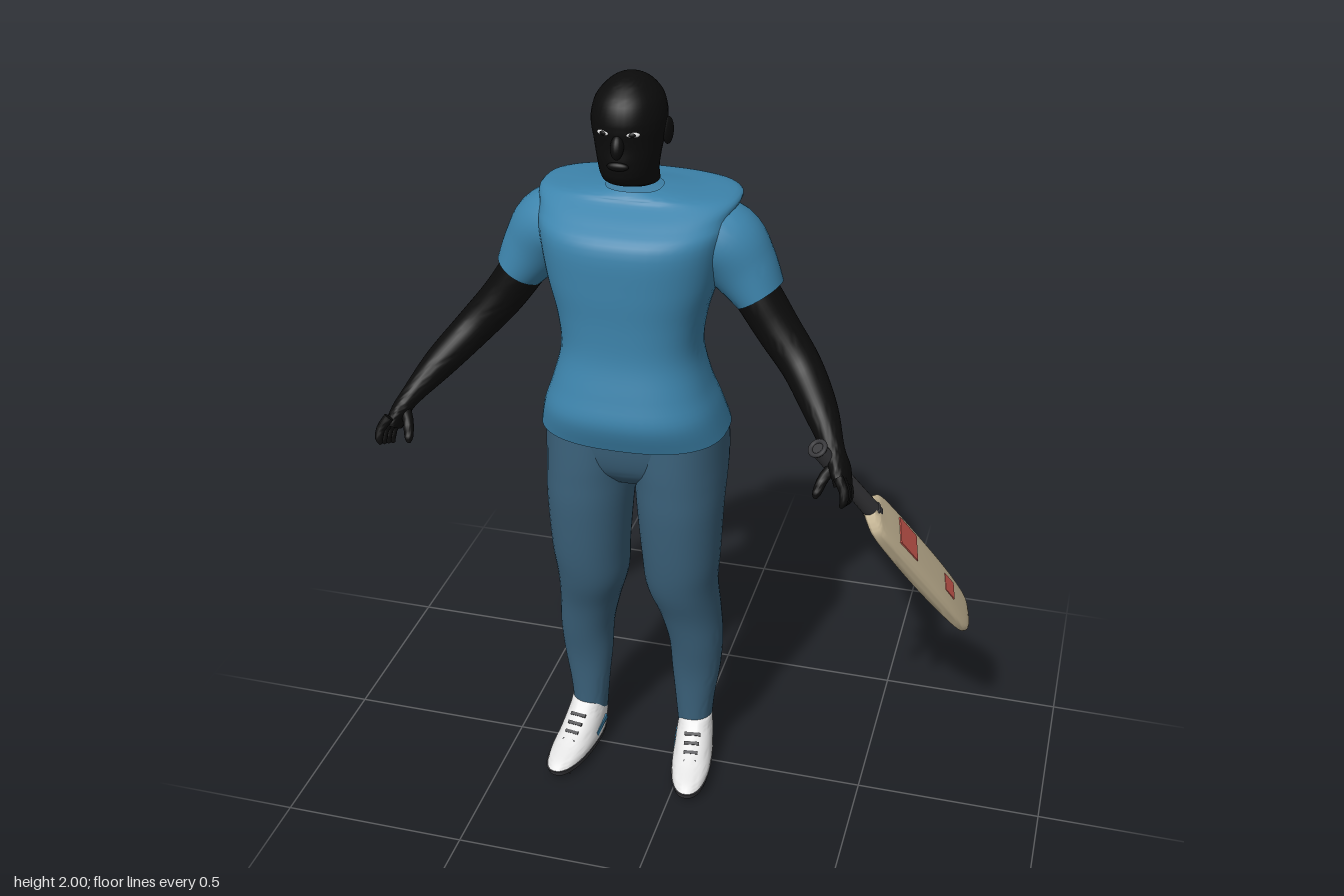
import * as THREE from 'three';
import { toCreasedNormals } from 'three/addons/utils/BufferGeometryUtils.js';

const V = (x, y, z) => new THREE.Vector3(x, y, z);
const CX = -0.14; // body centre line

// Catmull-Rom resampling of rows of numbers
function smooth(rows, steps = 5) {
  const out = [], at = i => rows[Math.max(0, Math.min(rows.length - 1, i))];
  for (let i = 0; i < rows.length - 1; i++)
    for (let k = 0; k < steps; k++) {
      const t = k / steps, [a, b, c, d] = [at(i - 1), at(i), at(i + 1), at(i + 2)];
      out.push(b.map((p, j) => 0.5 * (2 * p + (c[j] - a[j]) * t +
        (2 * a[j] - 5 * p + 4 * c[j] - d[j]) * t * t + (3 * p - a[j] - 3 * c[j] + d[j]) * t * t * t)));
    }
  out.push(rows[rows.length - 1]);
  return out;
}

// Surface through rings given as centre c with half axes u and v
function skin(rings, { n = 2, caps = true, segs = 36 } = {}) {
  const pos = [], idx = [];
  const bend = q => Math.sign(q) * Math.pow(Math.abs(q), 2 / n);
  for (const { c, u, v } of rings)
    for (let j = 0; j < segs; j++) {
      const a = (j / segs) * Math.PI * 2;
      const p = c.clone().addScaledVector(u, bend(Math.cos(a))).addScaledVector(v, bend(Math.sin(a)));
      pos.push(p.x, p.y, p.z);
    }
  for (let i = 0; i < rings.length - 1; i++)
    for (let j = 0; j < segs; j++) {
      const k = (j + 1) % segs, a = i * segs + j, b = i * segs + k;
      idx.push(a, a + segs, b, b, a + segs, b + segs);
    }
  if (caps) {
    const first = rings[0].c, last = rings[rings.length - 1].c;
    const m = pos.length / 3, top = (rings.length - 1) * segs;
    pos.push(first.x, first.y, first.z, last.x, last.y, last.z);
    for (let j = 0; j < segs; j++) {
      const k = (j + 1) % segs;
      idx.push(m, j, k, m + 1, top + k, top + j);
    }
  }
  const g = new THREE.BufferGeometry();
  g.setAttribute('position', new THREE.Float32BufferAttribute(pos, 3));
  g.setIndex(idx);
  return toCreasedNormals(g, 0.8);
}

// Horizontal rings, rows upward: [y, centre x, half width, front z, back z]
const stack = (rows, opt = {}) => skin(smooth(rows, opt.steps).map(([y, x, w, f, b]) =>
  ({ c: V(x, y, (f + b) / 2), u: V(w, 0, 0), v: V(0, 0, (f - b) / 2) })), opt);

// Rings square to a path: [x, y, z, half size towards z, other half size]
function limb(rows, s = 1, opt = {}) {
  const pts = smooth(rows.map(([x, ...r]) => [s * x, ...r]), opt.steps);
  const c = pts.map(p => V(p[0], p[1], p[2]));
  return skin(pts.map((p, i) => {
    const t = c[Math.min(i + 1, c.length - 1)].clone().sub(c[Math.max(i - 1, 0)]).normalize();
    const u = V(0, 0, 1).addScaledVector(t, -t.z).normalize();
    const v = u.clone().cross(t);
    return { c: c[i], u: u.multiplyScalar(p[3]), v: v.multiplyScalar(p[4]) };
  }), opt);
}

export function createModel() {
  const mat = (name, color, side = THREE.FrontSide) =>
    Object.assign(new THREE.MeshStandardMaterial({ color, side }), { name });
  const skinMat = mat('dark skin', 0x0b0b0b), shirtMat = mat('shirt blue', 0x3d84ac, THREE.DoubleSide);
  const trouserMat = mat('trouser blue', 0x3a6079), white = mat('shoe white', 0xe4e4e4);
  const soleMat = mat('sole grey', 0x3c3c40), gripMat = mat('grip charcoal', 0x37373a);
  const wood = mat('willow', 0xcdbd9b), red = mat('sticker red', 0xcf5a50);

  const model = new THREE.Group();
  const body = new THREE.Group();
  body.name = 'body';
  body.position.x = CX;
  model.add(body);
  const add = (parent, name, geo, m, x = 0, y = 0, z = 0) => {
    const mesh = new THREE.Mesh(geo, m);
    mesh.name = name;
    mesh.position.set(x, y, z);
    parent.add(mesh);
    return mesh;
  };
  const ball = (parent, name, m, p, sc, ry = 0, rx = 0) => {
    const b = add(parent, name, new THREE.SphereGeometry(1, 20, 14), m, ...p);
    b.scale.set(...sc);
    b.rotation.set(rx, ry, 0);
    return b;
  };

  // Head
  add(body, 'head', stack([
    [1.733, 0, 0.063, 0.03, -0.1], [1.752, 0, 0.066, 0.075, -0.098], [1.775, 0, 0.069, 0.096, -0.094],
    [1.81, 0, 0.075, 0.1, -0.095], [1.85, 0, 0.083, 0.097, -0.103], [1.9, 0, 0.09, 0.1, -0.112],
    [1.945, 0, 0.081, 0.086, -0.106], [1.975, 0, 0.058, 0.055, -0.085],
    [1.993, 0, 0.032, 0.022, -0.055], [2, 0, 0.004, -0.01, -0.022]], { n: 2.1 }), skinMat);
  ball(body, 'nose', skinMat, [0, 1.855, 0.1], [0.016, 0.03, 0.018], 0, -0.35);
  ball(body, 'lips', skinMat, [0, 1.807, 0.098], [0.027, 0.011, 0.01]);

  // Shirt torso with its flat, hunched shoulder line
  add(body, 'shirt', stack([
    [1.075, 0, 0.245, 0.16, -0.21], [1.15, 0, 0.225, 0.185, -0.19], [1.22, 0, 0.2, 0.172, -0.165],
    [1.31, 0, 0.178, 0.152, -0.155], [1.4, 0, 0.187, 0.15, -0.17], [1.5, 0, 0.215, 0.155, -0.207],
    [1.61, 0, 0.235, 0.152, -0.233], [1.655, 0, 0.243, 0.105, -0.24], [1.69, 0, 0.248, 0.045, -0.238],
    [1.703, 0, 0.155, 0.035, -0.16], [1.715, 0, 0.07, 0.02, -0.1]],
    { n: 2.5, caps: false, segs: 48 }), shirtMat);

  // Hips
  add(body, 'hips', stack([
    [0.93, 0, 0.15, 0.07, -0.1], [0.97, 0, 0.215, 0.105, -0.155], [1.02, 0, 0.235, 0.122, -0.185],
    [1.095, 0, 0.235, 0.13, -0.185]], { n: 2.4 }), trouserMat);

  for (const s of [1, -1]) {
    const side = s > 0 ? 'left' : 'right';

    // Face details
    ball(body, side + 'Ear', skinMat, [s * 0.09, 1.865, -0.02], [0.01, 0.034, 0.02], s * -0.3);
    ball(body, side + 'Eye', white, [s * 0.036, 1.885, 0.09], [0.017, 0.007, 0.006], s * 0.3);
    ball(body, side + 'Pupil', skinMat, [s * 0.036, 1.885, 0.094], [0.009, 0.0055, 0.004], s * 0.3);

    // Sleeve, arm and hand
    add(body, side + 'Sleeve', limb([
      [0.15, 1.6, -0.06, 0.12, 0.09], [0.22, 1.575, -0.065, 0.11, 0.1],
      [0.27, 1.515, -0.065, 0.092, 0.086], [0.313, 1.45, -0.06, 0.08, 0.065]],
      s, { caps: false }), shirtMat);
    add(body, side + 'Arm', limb([
      [0.22, 1.56, -0.07, 0.06, 0.055], [0.3, 1.455, -0.06, 0.066, 0.058],
      [0.365, 1.365, -0.045, 0.062, 0.055], [0.435, 1.285, -0.01, 0.055, 0.05],
      [0.5, 1.215, 0.07, 0.047, 0.042], [0.55, 1.155, 0.15, 0.03, 0.027],
      [0.572, 1.12, 0.175, 0.045, 0.024], [0.585, 1.085, 0.195, 0.046, 0.02]], s), skinMat);
    for (let i = 0; i < 4; i++) {
      const z = 0.16 + 0.025 * i, y = 1.075 + 0.012 * i;
      add(body, side + 'Finger', limb([
        [0.578, y + 0.02, z, 0.013, 0.013], [0.596, y - 0.008, z + 0.015, 0.012, 0.012],
        [0.598, y - 0.032, z + 0.026, 0.01, 0.01], [0.592, y - 0.045, z + 0.03, 0.004, 0.004]],
        s, { segs: 12, steps: 3 }), skinMat);
    }
    add(body, side + 'Thumb', limb([
      [0.565, 1.135, 0.17, 0.016, 0.016], [0.54, 1.11, 0.205, 0.014, 0.014],
      [0.528, 1.08, 0.235, 0.011, 0.011], [0.526, 1.068, 0.243, 0.004, 0.004]],
      s, { segs: 12, steps: 3 }), skinMat);

    // Trouser leg: outer and inner x are turned into centre and half width
    add(body, side + 'TrouserLeg', stack([
      [0.09, 0.2, 0.11, 0.015, -0.095], [0.2, 0.21, 0.1, 0.016, -0.096], [0.3, 0.225, 0.09, 0.022, -0.107],
      [0.4, 0.231, 0.083, 0.04, -0.122], [0.5, 0.226, 0.06, 0.062, -0.128], [0.6, 0.222, 0.03, 0.095, -0.12],
      [0.7, 0.23, 0.022, 0.115, -0.12], [0.85, 0.237, 0.01, 0.13, -0.142], [0.94, 0.24, 0.001, 0.131, -0.185],
      [1.0, 0.24, -0.005, 0.13, -0.203], [1.09, 0.238, -0.005, 0.125, -0.195]]
      .map(([y, o, i, f, b]) => [y, s * (o + i) / 2, (o - i) / 2, f, b]), { n: 2.15 }), trouserMat);

    // Shoe, toes turned slightly out
    const shoe = new THREE.Group();
    shoe.name = side + 'Shoe';
    shoe.position.x = s * 0.163;
    shoe.rotation.y = s * 0.14;
    body.add(shoe);
    add(shoe, 'sole', stack([[0.016, 0, 0.052, 0.2, -0.1], [0.034, 0, 0.056, 0.208, -0.1]],
      { n: 2.3, steps: 1 }), soleMat);
    add(shoe, 'upper', stack([
      [0.034, 0, 0.054, 0.204, -0.1], [0.05, 0, 0.055, 0.18, -0.102], [0.07, 0, 0.053, 0.125, -0.102],
      [0.095, 0, 0.051, 0.075, -0.1], [0.12, 0, 0.048, 0.04, -0.1], [0.14, 0, 0.046, 0.02, -0.098],
      [0.147, 0, 0.04, 0.01, -0.09]], { n: 2.2 }), white);
    for (let i = 0; i < 4; i++) {
      const lace = add(shoe, 'lace', new THREE.BoxGeometry(0.045 - i * 0.003, 0.006, 0.009), soleMat,
        0, 0.117 - i * 0.015, 0.043 + i * 0.022);
      lace.rotation.x = 0.65;
    }
    const stripe = add(shoe, 'sideStripe', new THREE.BoxGeometry(0.006, 0.016, 0.07), shirtMat, -s * 0.052, 0.065, 0);
    stripe.rotation.x = 0.3;
    for (const z of [-0.07, -0.03, 0.06, 0.12, 0.16])
      for (const x of [-0.027, 0.027])
        add(shoe, 'spike', new THREE.CylinderGeometry(0.006, 0.002, 0.018, 8), soleMat, x, 0.009, z);
  }

  // Bat: local +y runs up the handle, local +z is the stickered face
  const bat = new THREE.Group();
  bat.name = 'bat';
  const up = V(-0.378, 0.787, 0.488).normalize();
  const face = V(0.901, 0.433, 0).normalize();
  const across = up.clone().cross(face).normalize();
  bat.quaternion.setFromRotationMatrix(new THREE.Matrix4().makeBasis(across, up, across.clone().cross(up)));
  bat.position.set(0.497, 0.94, 0.05);
  model.add(bat);
  add(bat, 'blade', stack([
    [-0.637, 0, 0.018, 0.005, -0.006], [-0.625, 0, 0.04, 0.009, -0.012], [-0.585, 0, 0.06, 0.016, -0.019],
    [-0.45, 0, 0.066, 0.024, -0.027], [-0.28, 0, 0.067, 0.026, -0.03], [-0.12, 0, 0.066, 0.024, -0.026],
    [-0.04, 0, 0.062, 0.021, -0.022], [-0.01, 0, 0.047, 0.02, -0.02], [0.012, 0, 0.022, 0.019, -0.019]],
    { n: 3.2 }), wood);
  add(bat, 'largeSticker', new THREE.BoxGeometry(0.076, 0.105, 0.009), red, 0, -0.175, 0.0225);
  add(bat, 'smallSticker', new THREE.BoxGeometry(0.05, 0.06, 0.009), red, 0, -0.45, 0.0215);
  add(bat, 'handle', new THREE.CylinderGeometry(0.02, 0.023, 0.33, 20), gripMat, 0, 0.145, 0);
  for (const y of [0.0, 0.31]) {
    const ring = add(bat, 'gripRing', new THREE.TorusGeometry(0.02, 0.006, 8, 20), gripMat, 0, y, 0);
    ring.rotation.x = Math.PI / 2;
  }
  return model;
}
